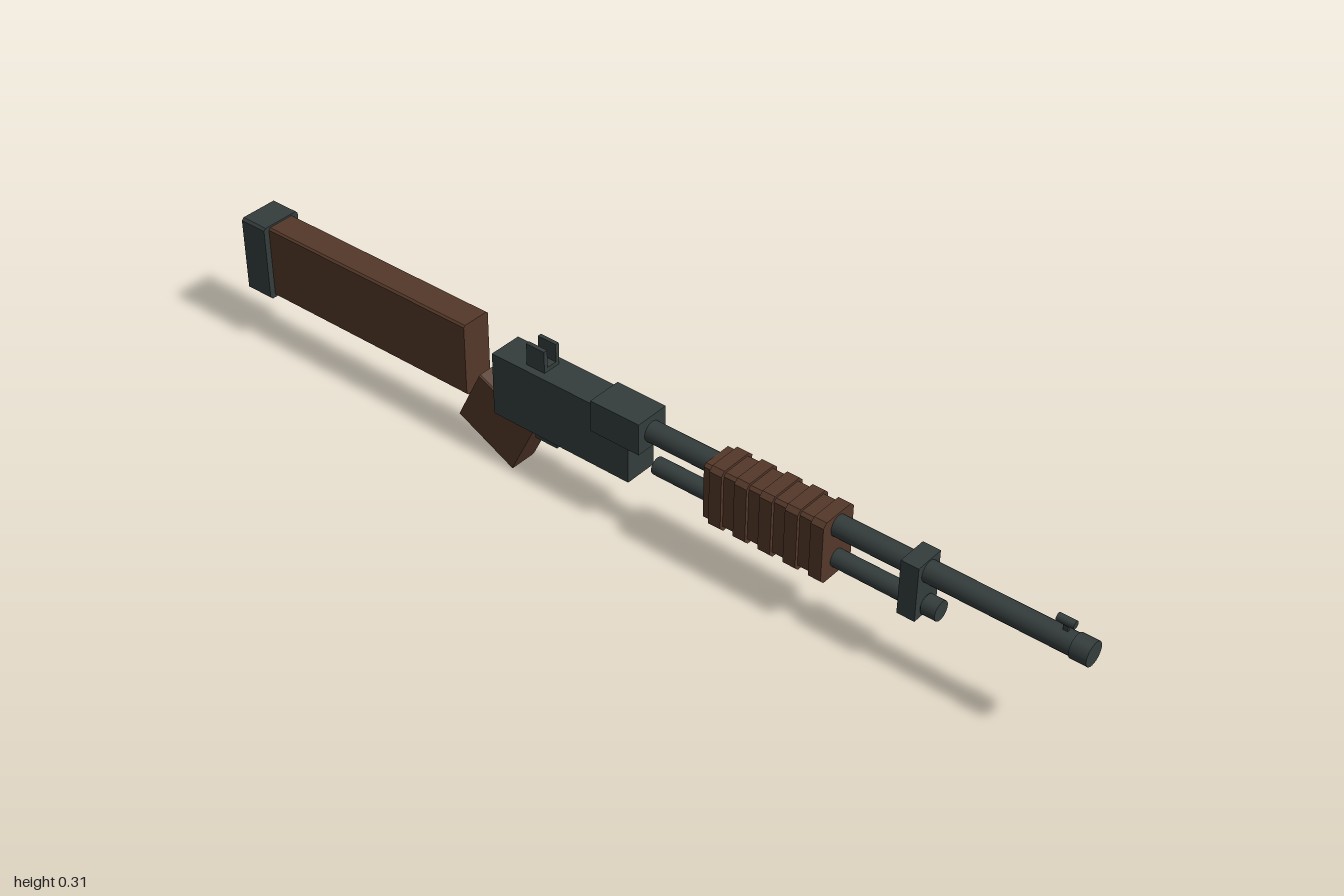
import * as THREE from 'three';

export function createModel() {
  const model = new THREE.Group();
  const metal = new THREE.MeshStandardMaterial({ color: 0x343c3c });
  metal.name = 'gunmetal';
  const wood = new THREE.MeshStandardMaterial({ color: 0x543829 });
  wood.name = 'dark walnut';

  function add(name, geometry, material, parent = model) {
    const mesh = new THREE.Mesh(geometry, material);
    mesh.name = name;
    parent.add(mesh);
    return mesh;
  }

  // Bar along x with chamfered long edges, given by its extents and half width
  function bar(name, x0, x1, y0, y1, halfZ, chamfer, material, parent, z = 0) {
    const h = (y1 - y0) / 2, c = chamfer;
    const shape = new THREE.Shape([
      [halfZ, -h + c], [halfZ, h - c], [halfZ - c, h], [-halfZ + c, h],
      [-halfZ, h - c], [-halfZ, -h + c], [-halfZ + c, -h], [halfZ - c, -h],
    ].map(([a, b]) => new THREE.Vector2(a, b)));
    const geometry = new THREE.ExtrudeGeometry(shape, { depth: x1 - x0, bevelEnabled: false });
    geometry.translate(0, 0, -(x1 - x0) / 2).rotateY(Math.PI / 2);
    const mesh = add(name, geometry, material, parent);
    mesh.position.set((x0 + x1) / 2, (y0 + y1) / 2, z);
    return mesh;
  }

  function box(name, x0, x1, y0, y1, z0, z1, material, parent) {
    const mesh = add(name, new THREE.BoxGeometry(x1 - x0, y1 - y0, z1 - z0), material, parent);
    mesh.position.set((x0 + x1) / 2, (y0 + y1) / 2, (z0 + z1) / 2);
    return mesh;
  }

  function rod(name, x0, x1, y, radius, material, parent) {
    const geometry = new THREE.CylinderGeometry(radius, radius, x1 - x0, 24).rotateZ(Math.PI / 2);
    const mesh = add(name, geometry, material, parent);
    mesh.position.set((x0 + x1) / 2, y, 0);
    return mesh;
  }

  // Shoulder stock and pad
  bar('stock', -0.935, -0.395, 0.13, 0.294, 0.034, 0.004, wood);
  bar('buttPad', -1, -0.935, 0.127, 0.298, 0.047, 0.005, metal);

  // Slanted grip
  const grip = bar('grip', -0.077, 0.077, -0.0685, 0.0685, 0.032, 0.003, wood);
  grip.position.set(-0.322, 0.098, 0);
  grip.rotation.z = -0.46;

  // Receiver with its collar, side port and trigger block
  box('receiver', -0.32, 0.02, 0.125, 0.266, -0.037, 0.037, metal);
  box('receiverCollar', -0.07, 0.047, 0.204, 0.274, -0.039, 0.039, metal);
  box('ejectionPort', -0.17, -0.07, 0.18, 0.245, -0.045, -0.036, metal);
  box('triggerBlock', -0.225, -0.17, 0.104, 0.128, -0.024, 0.024, metal);

  // Rear sight
  const rearSight = new THREE.Group();
  rearSight.name = 'rearSight';
  model.add(rearSight);
  for (const side of [-1, 1]) {
    const z = side * 0.0165;
    box('sightProng', -0.245, -0.2, 0.262, 0.315, z - 0.0045, z + 0.0045, metal, rearSight);
  }
  box('sightBase', -0.245, -0.2, 0.262, 0.275, -0.014, 0.014, metal, rearSight);

  // Barrel, muzzle and front sight
  rod('barrel', 0.03, 0.99, 0.238, 0.022, metal);
  rod('muzzle', 0.965, 1, 0.238, 0.0245, metal);
  rod('frontSightBead', 0.925, 0.96, 0.279, 0.008, metal);
  box('frontSightPost', 0.938, 0.948, 0.255, 0.277, -0.003, 0.003, metal);

  // Magazine tube with end cap, and the clamp joining it to the barrel
  rod('magazineTube', 0.06, 0.69, 0.164, 0.0185, metal);
  rod('tubeCap', 0.67, 0.7, 0.164, 0.0205, metal);
  box('barrelClamp', 0.63, 0.668, 0.143, 0.263, -0.033, 0.033, metal);

  // Ribbed pump handle
  const pump = new THREE.Group();
  pump.name = 'pumpHandle';
  model.add(pump);
  bar('pumpCore', 0.2, 0.474, 0.133, 0.26, 0.038, 0.006, wood, pump);
  for (let i = 0; i < 5; i++) {
    const x = 0.232 + i * 0.057;
    bar('pumpRib', x - 0.014, x + 0.014, 0.127, 0.265, 0.045, 0.009, wood, pump);
  }

  return model;
}
